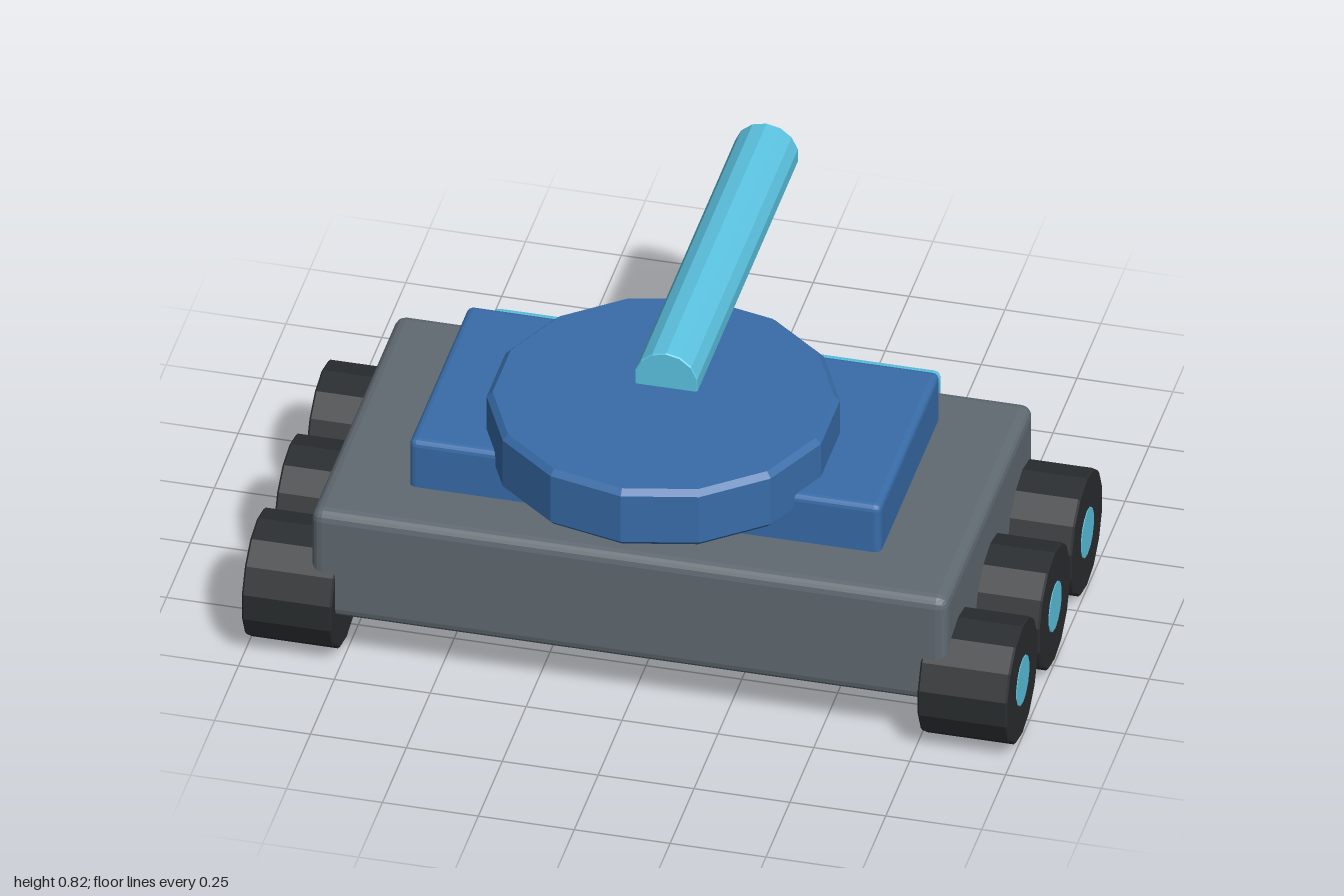
import * as THREE from 'three';
import { RoundedBoxGeometry } from 'three/addons/geometries/RoundedBoxGeometry.js';

const SIDES = 14;
const material = (color) => new THREE.MeshStandardMaterial({ color, flatShading: true });

// Upright faceted drum with a small chamfer on both rims
function drumGeometry(radius, height, bevel) {
  const h = height / 2;
  const profile = [
    [0, -h], [radius - bevel, -h], [radius, bevel - h],
    [radius, h - bevel], [radius - bevel, h], [0, h],
  ].map(([x, y]) => new THREE.Vector2(x, y));
  return new THREE.LatheGeometry(profile, SIDES);
}

export function createModel() {
  const model = new THREE.Group();
  model.name = 'tank';
  const grey = material(0x606a72);
  const blue = material(0x386ca8);
  const cyan = material(0x5cc4e2);
  const rubber = material(0x2a2d2f);

  function add(name, geometry, mat, x, y, z, parent = model) {
    const mesh = new THREE.Mesh(geometry, mat);
    mesh.name = name;
    mesh.position.set(x, y, z);
    parent.add(mesh);
    return mesh;
  }

  // Block given by its half width and its y and z limits
  function addBlock(name, mat, halfX, [y0, y1], [z0, z1], radius) {
    const geometry = new RoundedBoxGeometry(2 * halfX, y1 - y0, z1 - z0, 2, radius);
    add(name, geometry, mat, 0, (y0 + y1) / 2, (z0 + z1) / 2);
  }

  // Body
  addBlock('hull', grey, 0.83, [0.14, 0.46], [-0.23, 0.685], 0.03);
  addBlock('deck', blue, 0.615, [0.4, 0.6], [-0.11, 0.515], 0.018);
  addBlock('rearBox', cyan, 0.585, [0.34, 0.505], [-0.255, -0.05], 0.02);

  // Turret disc and the gun lying across it, pointing to the back
  add('turret', drumGeometry(0.447, 0.17, 0.015), blue, 0, 0.63, 0.318);
  add('gun', drumGeometry(0.084, 1.055, 0.003).rotateX(Math.PI / 2), cyan, 0, 0.735, -0.2375);

  // Three wheels a side, each with a hub running right through
  const lieAlongX = (geometry) => geometry.rotateY(Math.PI / 2).rotateZ(Math.PI / 2);
  const tyre = lieAlongX(drumGeometry(0.166, 0.234, 0.005));
  const hub = lieAlongX(drumGeometry(0.067, 0.238, 0.001));
  for (const side of [-1, 1]) {
    for (const z of [0.565, 0.227, -0.111]) {
      const wheel = new THREE.Group();
      wheel.name = side > 0 ? 'leftWheel' : 'rightWheel';
      wheel.position.set(side * 0.881, 0.166, z);
      add('tyre', tyre, rubber, 0, 0, 0, wheel);
      add('hub', hub, cyan, 0, 0, 0, wheel);
      model.add(wheel);
    }
  }
  return model;
}
